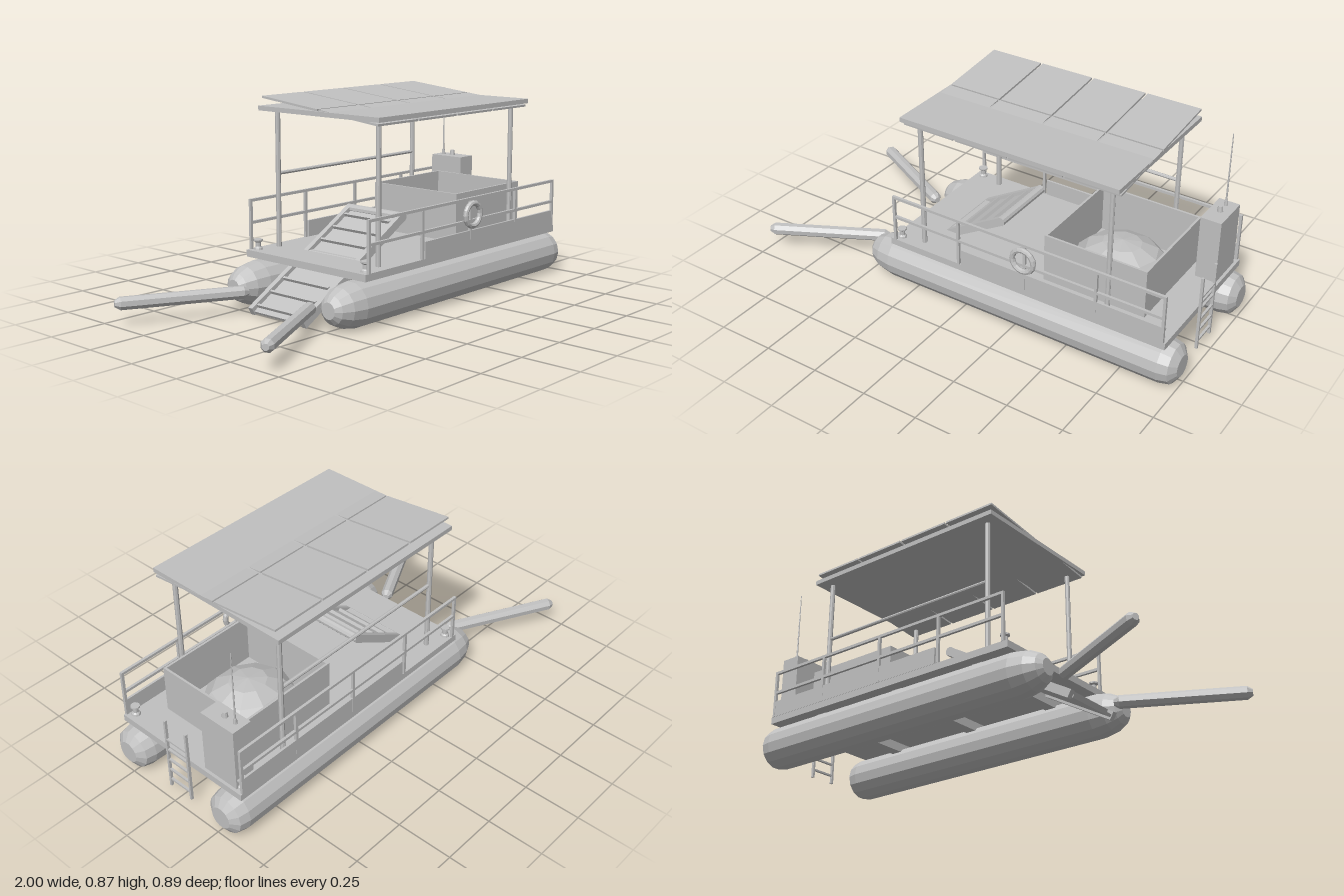
import * as THREE from 'three';

export function createModel() {
  const root = new THREE.Group();
  const grey = new THREE.MeshStandardMaterial({ color: 0xc0c0c0, flatShading: true });
  grey.name = 'hull grey';

  const add = (name, geo, x = 0, y = 0, z = 0, parent = root) => {
    const m = new THREE.Mesh(geo, grey);
    m.name = name;
    m.position.set(x, y, z);
    parent.add(m);
    return m;
  };
  // Box given by its min and max on each axis
  const box = (name, x0, x1, y0, y1, z0, z1, parent = root) =>
    add(name, new THREE.BoxGeometry(x1 - x0, y1 - y0, z1 - z0),
      (x0 + x1) / 2, (y0 + y1) / 2, (z0 + z1) / 2, parent);
  const lathe = (pts, n) =>
    new THREE.LatheGeometry(pts.map(p => new THREE.Vector2(p[0], p[1])), n);
  const group = name => {
    const g = new THREE.Group();
    g.name = name;
    root.add(g);
    return g;
  };

  // Pontoons with tapered ends
  const hull = lathe([[0, -0.51], [0.035, -0.51], [0.06, -0.49], [0.083, -0.445], [0.095, -0.38],
    [0.095, 0.93], [0.085, 0.975], [0.048, 1], [0, 1]], 14);
  hull.rotateZ(-Math.PI / 2);
  for (const s of [-1, 1]) add('pontoon', hull, 0, 0.1, s * 0.272);

  // Deck on cross beams
  box('deck', -0.37, 0.95, 0.2, 0.23, -0.34, 0.34);
  for (const x of [-0.18, 0.25, 0.69]) box('crossBeam', x - 0.025, x + 0.025, 0.16, 0.2, -0.29, 0.29);

  // Canopy, its posts and the tie bar
  box('canopy', -0.29, 0.72, 0.82, 0.84, -0.34, 0.34);
  for (const x of [-0.23, 0.665]) for (const s of [-1, 1])
    add('canopyPost', new THREE.CylinderGeometry(0.011, 0.011, 0.59, 8), x, 0.525, s * 0.285);
  const tie = add('tieBar', new THREE.CylinderGeometry(0.008, 0.008, 0.895, 8), 0.2175, 0.55, -0.285);
  tie.rotation.z = Math.PI / 2;

  // Two tilted rows of four solar panels
  const solar = group('solarPanels');
  solar.position.set(0.22, 0.843, 0);
  solar.rotation.x = 0.106;
  for (let i = 0; i < 4; i++) for (const s of [-1, 1])
    add('solarPanel', new THREE.BoxGeometry(0.243, 0.009, 0.324), (i - 1.5) * 0.253, 0, s * 0.166, solar);

  // Side rails, kick panels and mooring bollards
  const bollard = lathe([[0, 0], [0.02, 0], [0.018, 0.008], [0.012, 0.014], [0.012, 0.032],
    [0.02, 0.038], [0.02, 0.045], [0, 0.045]], 10);
  for (const s of [-1, 1]) {
    const rail = group('railing');
    const z = s * 0.336;
    for (const y of [0.345, 0.441]) box('railBar', -0.352, 0.942, y - 0.006, y + 0.006, z - 0.006, z + 0.006, rail);
    for (const x of [-0.346, -0.015, 0.31, 0.64, 0.936])
      box('railPost', x - 0.006, x + 0.006, 0.23, 0.441, z - 0.006, z + 0.006, rail);
    box('kickPanel', 0, 0.936, 0.23, 0.303, z - 0.005, z + 0.005, rail);
    for (const x of [-0.333, 0.913]) add('bollard', bollard, x, 0.23, s * 0.307);
  }

  // Life ring on the front rail
  add('lifeRing', new THREE.TorusGeometry(0.05, 0.012, 8, 16), 0.31, 0.374, 0.35);

  // Open hopper with a heap inside
  const bin = group('hopper');
  for (const s of [-1, 1])
    box('hopperSide', 0.34, 0.805, 0.23, 0.445, s * 0.231 - 0.005, s * 0.231 + 0.005, bin);
  for (const x of [0.345, 0.8])
    box('hopperEnd', x - 0.005, x + 0.005, 0.23, 0.445, -0.226, 0.226, bin);
  const heap = new THREE.SphereGeometry(1, 10, 4, 0, Math.PI * 2, 0, Math.PI / 2);
  heap.scale(0.22, 0.15, 0.2);
  add('heap', heap, 0.57, 0.23, 0, bin);

  // Sloping conveyor reaching into the water
  const conveyor = group('conveyor');
  const dx = 0.6, dy = 0.346, len = Math.hypot(dx, dy);
  conveyor.position.set(-0.525, 0.025, 0);
  conveyor.rotation.z = Math.atan2(dy, dx);
  box('belt', 0, len, -0.008, 0.004, -0.13, 0.13, conveyor);
  for (const s of [-1, 1])
    box('conveyorSide', 0, len, -0.018, 0.018, s * 0.147 - 0.012, s * 0.147 + 0.012, conveyor);
  for (let i = 0; i < 8; i++) {
    const x = 0.03 + i * 0.087;
    box('cleat', x - 0.005, x + 0.005, 0.004, 0.018, -0.13, 0.13, conveyor);
  }
  const roller = add('roller', new THREE.CylinderGeometry(0.02, 0.02, 0.318, 10), len, 0, 0, conveyor);
  roller.rotation.x = Math.PI / 2;

  // Floating guide booms
  for (const s of [-1, 1]) {
    const a = new THREE.Vector3(-0.51, 0.1, s * 0.18);
    const b = new THREE.Vector3(-0.998, 0.1, s * 0.433);
    const h = a.distanceTo(b) / 2;
    const geo = lathe([[0, -h], [0.014, -h], [0.028, -h + 0.022], [0.028, h - 0.022], [0.014, h], [0, h]], 8);
    const boom = add('boom', geo);
    boom.position.copy(a).lerp(b, 0.5);
    boom.quaternion.setFromUnitVectors(new THREE.Vector3(0, 1, 0), b.clone().sub(a).normalize());
  }

  // Control cabinet with antenna and beacon
  box('controlCabinet', 0.845, 0.937, 0.23, 0.515, -0.305, -0.13);
  add('antennaBase', new THREE.CylinderGeometry(0.007, 0.009, 0.025, 8), 0.89, 0.527, -0.27);
  add('antenna', new THREE.CylinderGeometry(0.002, 0.004, 0.31, 6), 0.89, 0.69, -0.27);
  add('beacon', new THREE.CylinderGeometry(0.01, 0.013, 0.025, 10), 0.89, 0.527, -0.215);

  // Boarding ladder
  const ladder = group('ladder');
  for (const s of [-1, 1])
    box('ladderRail', 0.955, 0.967, 0.03, 0.375, s * 0.059 - 0.005, s * 0.059 + 0.005, ladder);
  for (let i = 0; i < 5; i++) {
    const y = 0.067 + i * 0.0533;
    box('ladderRung', 0.956, 0.966, y - 0.004, y + 0.004, -0.056, 0.056, ladder);
  }

  return root;
}
